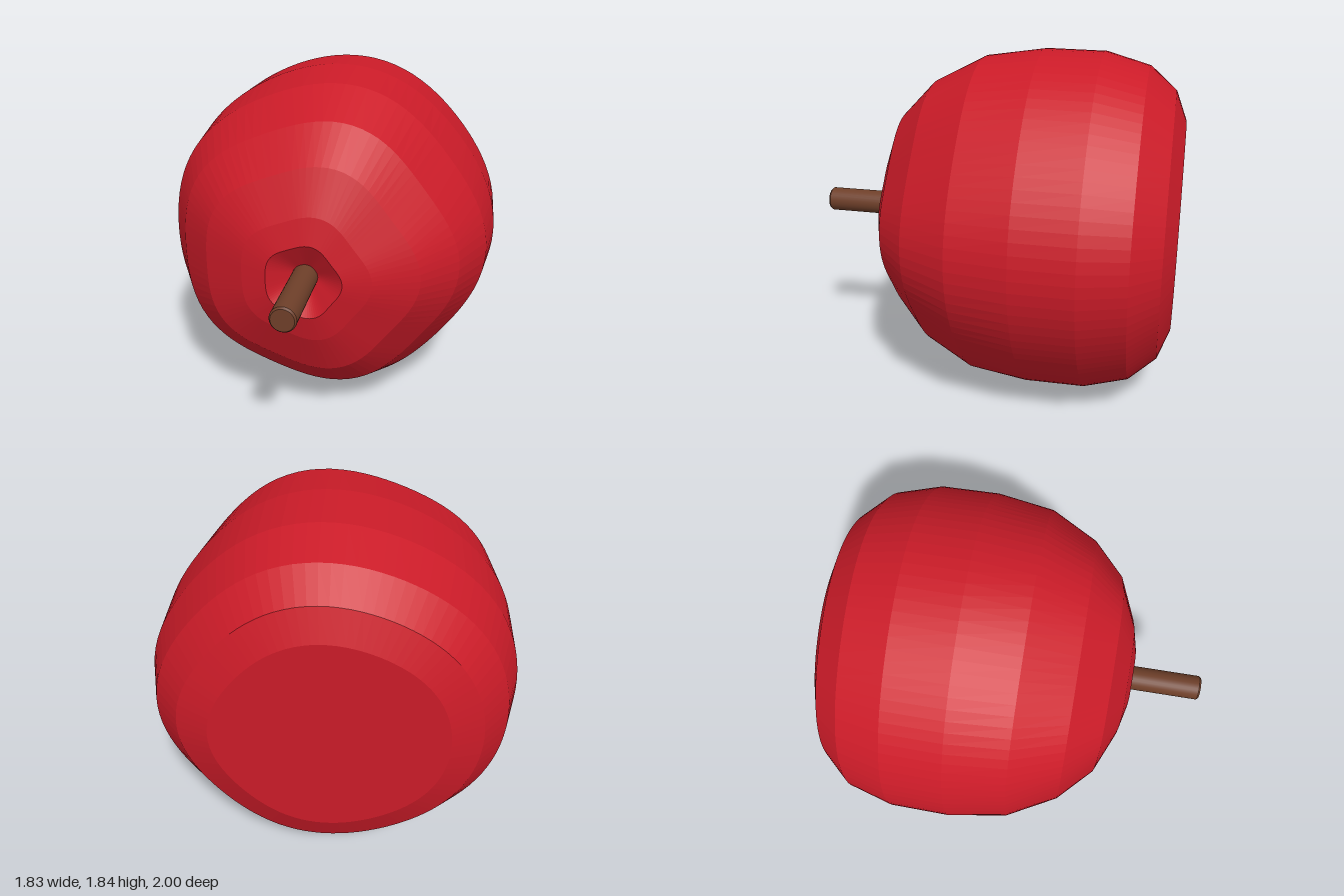
import * as THREE from 'three';

const CX = -0.013, CY = 0.921; // core axis of the fruit

export function createModel() {
  const group = new THREE.Group();
  const red = new THREE.MeshStandardMaterial({ color: 0xcb1b28, flatShading: true });
  red.name = 'apple red';
  const brown = new THREE.MeshStandardMaterial({ color: 0x6e3f29 });
  brown.name = 'stem brown';

  // Fruit body: [radius, z] from the flat base to the bottom of the stem dimple
  const profile = [
    [0, -1], [0.56, -1], [0.714, -0.94], [0.838, -0.8], [0.903, -0.57], [0.908, -0.26],
    [0.865, 0.05], [0.73, 0.31], [0.551, 0.485], [0.33, 0.58], [0.193, 0.612], [0, 0.5],
  ].map(([r, z]) => new THREE.Vector2(r, z));
  const body = new THREE.LatheGeometry(profile, 96);
  body.rotateX(Math.PI / 2);

  // Soft lobes around the axis: five of them, fading out behind the widest ring
  const pos = body.attributes.position;
  for (let i = 0; i < pos.count; i++) {
    const x = pos.getX(i), y = pos.getY(i);
    const a = Math.atan2(y, x);
    const five = 0.01 + 0.032 * THREE.MathUtils.clamp((pos.getZ(i) + 0.15) / 0.75, 0, 1);
    const k = 1 + 0.01 * Math.cos(4 * a) + five * Math.cos(5 * a);
    pos.setXY(i, x * k, y * k);
  }
  body.computeVertexNormals();
  const fruit = new THREE.Mesh(body, red);
  fruit.name = 'fruitBody';
  fruit.position.set(CX, CY, 0);
  group.add(fruit);

  // Stem with a small bevel at its tip
  const stem = new THREE.Group();
  stem.name = 'stem';
  const addSection = (name, geometry, z) => {
    const mesh = new THREE.Mesh(geometry.rotateX(Math.PI / 2), brown);
    mesh.name = name;
    mesh.position.z = z;
    stem.add(mesh);
  };
  addSection('stemShaft', new THREE.CylinderGeometry(0.066, 0.066, 0.49, 32, 1, true), 0.745);
  addSection('stemTip', new THREE.CylinderGeometry(0.058, 0.066, 0.01, 32), 0.995);
  stem.position.set(CX, CY, 0);
  group.add(stem);

  return group;
}
